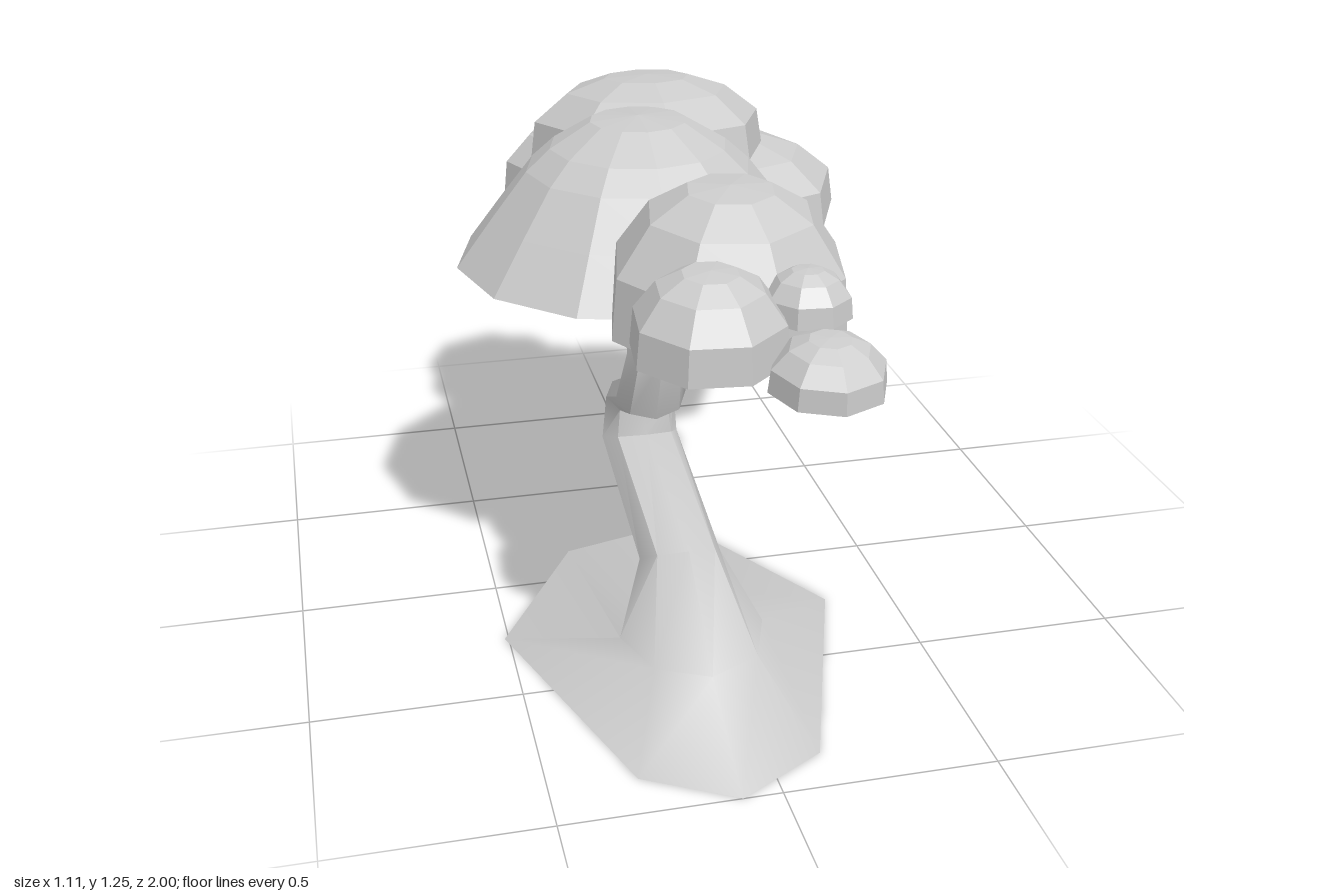
import * as THREE from 'three';
import { toCreasedNormals } from 'three/addons/utils/BufferGeometryUtils.js';

const SIDES = 8;
const AXIS_X = -0.09;
const barkMat = new THREE.MeshStandardMaterial({ color: 0xcccccc, side: THREE.DoubleSide });
const leafMat = new THREE.MeshStandardMaterial({ color: 0xcccccc, side: THREE.DoubleSide, flatShading: true });

// One octagonal cross-section between two points of the bending plane: (za, ya) and (zb, yb)
function ring(za, ya, zb, yb, halfWidth, cx = AXIS_X) {
  return Array.from({ length: SIDES }, (_, j) => {
    const t = (j / SIDES) * Math.PI * 2, c = Math.cos(t) / 2;
    return [cx + halfWidth * Math.sin(t), (ya + yb) / 2 + c * (ya - yb), (za + zb) / 2 + c * (za - zb)];
  });
}

// Skin a list of cross-sections
function loft(name, rings) {
  const index = [];
  for (let i = 0; i < rings.length - 1; i++) {
    for (let j = 0; j < SIDES; j++) {
      const a = i * SIDES + j, b = i * SIDES + (j + 1) % SIDES;
      index.push(a, b, b + SIDES, a, b + SIDES, a + SIDES);
    }
  }
  const geo = new THREE.BufferGeometry();
  geo.setAttribute('position', new THREE.Float32BufferAttribute(rings.flat(2), 3));
  geo.setIndex(index);
  const mesh = new THREE.Mesh(toCreasedNormals(geo, 0.7), barkMat);
  mesh.name = name;
  return mesh;
}

// Open faceted dome; profile is [radius, height] from rim to crown, in unit size
const ROUND = [[1, 0], [0.96, 0.45], [0.68, 0.8], [0.36, 0.97], [0, 1]];
const WIDE = [[1, 0], [0.8, 0.34], [0.61, 0.65], [0.48, 0.8], [0.26, 0.97], [0, 1]];

function dome(name, [x, y, z], radius, height, { sides = 8, profile = ROUND, tilt = 0, turn = 0 } = {}) {
  const points = profile.map(([r, h]) => new THREE.Vector2(r * radius, h * height));
  const mesh = new THREE.Mesh(new THREE.LatheGeometry(points, sides), leafMat);
  mesh.name = name;
  mesh.position.set(x, y, z);
  mesh.rotation.set(tilt, turn, 0);
  return mesh;
}

export function createModel() {
  const model = new THREE.Group();

  // Spreading root skirt: half-outline from front tip to back, mirrored
  const half = [[0, 1], [0.21, 0.88], [0.42, 0.25], [0.19, -0.15], [0, -0.2]];
  const mirrored = half.slice(1, 4).reverse().map(([x, z]) => [-x, z]);
  const foot = [...half, ...mirrored].map(([x, z]) => [AXIS_X + x, 0, z]);

  // Trunk winding back, then forward and up
  model.add(loft('trunk', [
    foot,
    ring(0.72, 0.13, 0.30, 0.13, 0.175),
    ring(0.48, 0.325, 0.29, 0.205, 0.10),
    ring(0.0, 0.405, -0.18, 0.33, 0.10),
    ring(-0.01, 0.46, -0.15, 0.515, 0.09),
    ring(0.12, 0.505, 0.0, 0.595, 0.09),
    ring(0.20, 0.70, 0.07, 0.70, 0.075),
    ring(0.17, 0.88, 0.03, 0.88, 0.08),
    ring(0.13, 1.05, 0.03, 1.05, 0.05),
  ]));

  // Branches
  model.add(loft('backBranch', [
    ring(0.06, 0.92, 0.07, 0.79, 0.06),
    ring(-0.24, 0.77, -0.24, 0.635, 0.06),
    ring(-0.63, 0.815, -0.65, 0.74, 0.04),
    ring(-0.72, 0.90, -0.75, 0.88, 0.02),
  ]));
  model.add(loft('upperBackBranch', [
    ring(0.02, 0.98, 0.02, 0.90, 0.04),
    ring(-0.25, 1.06, -0.25, 1.0, 0.03, -0.03),
    ring(-0.42, 1.14, -0.42, 1.1, 0.02, 0),
  ]));
  model.add(loft('frontBranch', [
    ring(0.08, 0.90, 0.08, 0.99, 0.045),
    ring(0.38, 0.90, 0.38, 0.96, 0.035, -0.05),
    ring(0.70, 0.97, 0.70, 1.0, 0.02, -0.08),
  ]));

  // Foliage pads
  const foliage = new THREE.Group();
  foliage.name = 'foliage';
  foliage.add(
    dome('mainPad', [-0.09, 0.88, -0.07], 0.46, 0.36, { sides: 12, profile: WIDE }),
    dome('backPad', [-0.1, 0.84, -0.76], 0.24, 0.21),
    dome('backLeftPad', [0.23, 0.84, -0.5], 0.325, 0.21),
    dome('upperBackPad', [0.01, 1.045, -0.43], 0.315, 0.2, { tilt: -0.08 }),
    dome('frontPad', [0.015, 0.88, 0.41], 0.285, 0.33, { tilt: 0.06, turn: 0.2 }),
    dome('frontRightPad', [-0.1, 0.93, 0.7], 0.175, 0.19, { tilt: 0.06, turn: 0.3 }),
    dome('smallPad', [0.12, 0.99, 0.68], 0.1, 0.105, { turn: 0.3 }),
    dome('frontTipPad', [0.12, 0.89, 0.84], 0.13, 0.115, { tilt: 0.08 }),
  );
  model.add(foliage);
  return model;
}
